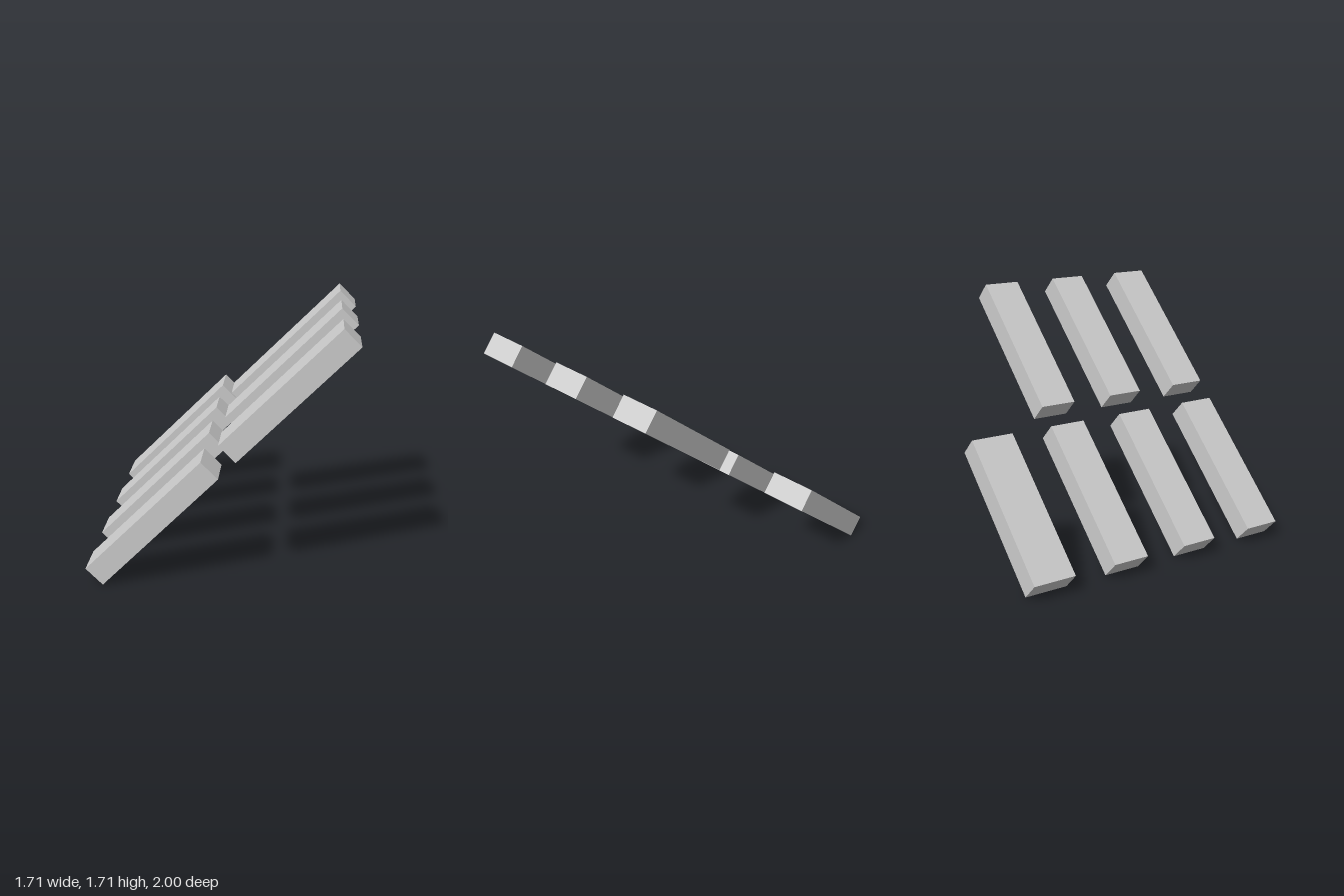
import * as THREE from 'three';

const LENGTH = 1.055;
const THICKNESS = 0.154;
const TILT = Math.PI / 4;

export function createModel() {
  const model = new THREE.Group();
  model.name = 'slantedBars';
  const material = new THREE.MeshStandardMaterial({ color: 0xcccccc, flatShading: true });

  // One square-cut bar, sloping up towards +x
  function addBar(parent, name, z, width) {
    const bar = new THREE.Mesh(new THREE.BoxGeometry(LENGTH, THICKNESS, width), material);
    bar.name = name;
    bar.position.z = z;
    bar.rotation.z = TILT;
    parent.add(bar);
  }

  // Two rows of evenly spaced bars
  const rows = [
    { name: 'lowerRow', x: -0.4275, y: 0.4275 },
    { name: 'upperRow', x: 0.4275, y: 1.2845 },
  ];
  for (const { name, x, y } of rows) {
    const row = new THREE.Group();
    row.name = name;
    row.position.set(x, y, 0);
    for (let i = 0; i < 3; i++) addBar(row, `bar${i + 1}`, 0.869 - i * 0.567, 0.262);
    // The lower row ends in a wider fourth bar
    if (name === 'lowerRow') addBar(row, 'wideBackBar', -0.849, 0.302);
    model.add(row);
  }
  return model;
}
